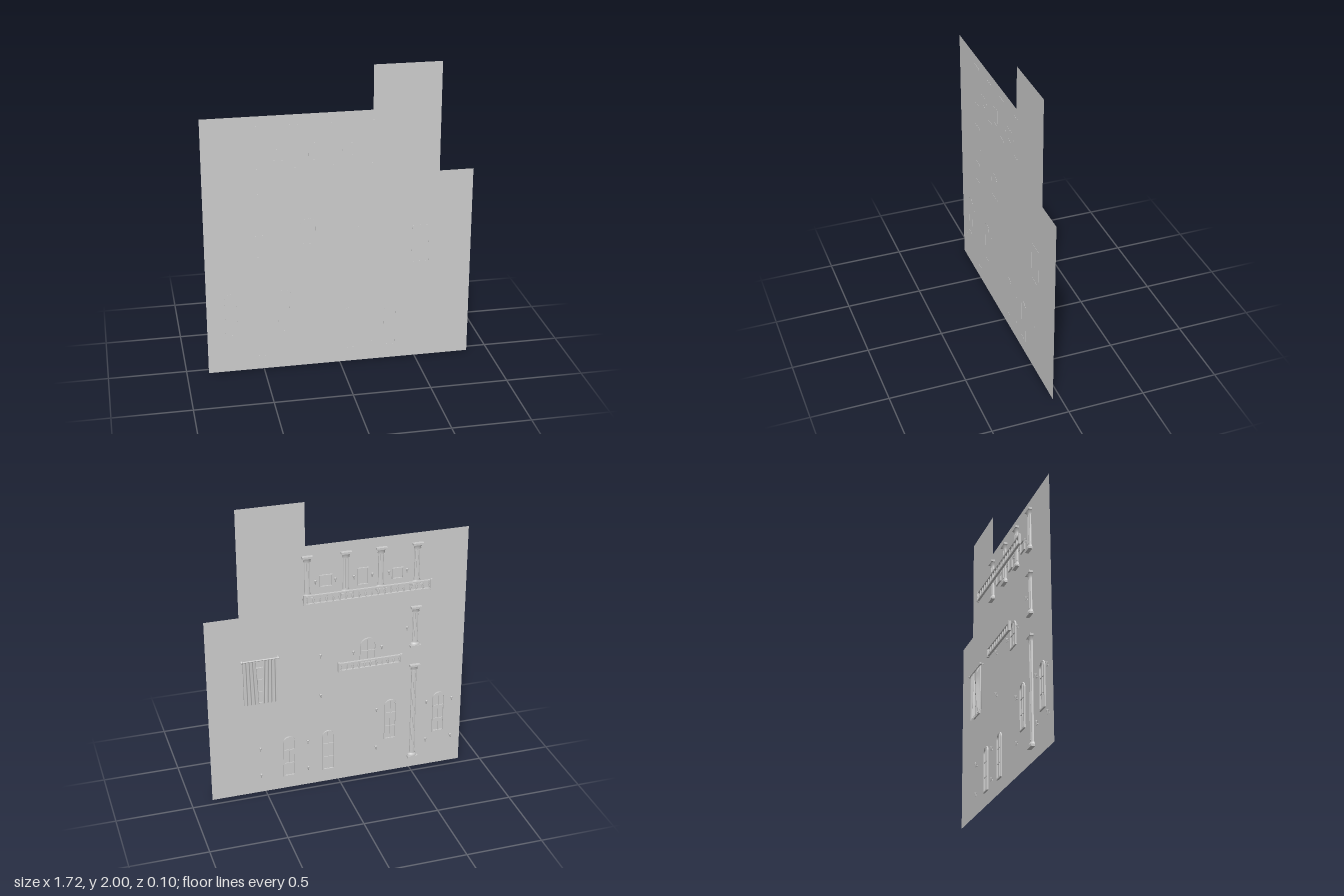
import * as THREE from 'three';

const WALL_Z = 0.05;
const stone = new THREE.MeshStandardMaterial({ color: 0xcccccc, side: THREE.DoubleSide });
stone.name = 'pale stone';

function add(parent, geo, name, x = 0, y = 0, z = 0) {
  const m = new THREE.Mesh(geo, stone);
  m.name = name;
  m.position.set(x, y, z);
  parent.add(m);
  return m;
}
const box = (w, h, d) => new THREE.BoxGeometry(w, h, d);
const v2 = (a) => a.map(([x, y]) => new THREE.Vector2(x, y));

function group(parent, name, x = 0, y = 0, z = 0) {
  const g = new THREE.Group();
  g.name = name;
  g.position.set(x, y, z);
  parent.add(g);
  return g;
}

// Half-round pilaster against the back of the wall
function pilaster(parent, x, y0, y1) {
  const h = y1 - y0, g = group(parent, 'pilaster', x, y0, WALL_Z);
  const profile = v2([[0.032, 0.014], [0.032, 0.022], [0.026, 0.03], [0.02, 0.036],
    [0.019, h - 0.045], [0.024, h - 0.038], [0.022, h - 0.03], [0.032, h - 0.014]]);
  const shaft = add(g, new THREE.LatheGeometry(profile, 12, Math.PI / 2, Math.PI), 'shaft');
  shaft.scale.z = 0.75;
  for (const a of [-0.9, -0.3, 0.3, 0.9]) {
    add(g, box(0.004, h - 0.09, 0.004), 'fluteRib',
      0.02 * Math.sin(a), h / 2, -0.015 * Math.cos(a));
  }
  add(g, box(0.07, 0.014, 0.025), 'plinth', 0, 0.007, -0.0115);
  add(g, box(0.07, 0.014, 0.025), 'capital', 0, h - 0.007, -0.0115);
}

// Outline of a window, with a round or a square head
function outline(P, w, h, arched) {
  const p = new P(), r = w / 2;
  p.moveTo(-r, 0);
  p.lineTo(r, 0);
  if (arched) {
    p.lineTo(r, h - r);
    p.absarc(0, h - r, r, 0, Math.PI, false);
  } else {
    p.lineTo(r, h);
    p.lineTo(-r, h);
  }
  p.closePath();
  return p;
}

function windowFrame(parent, name, x, y, w, h, arched, bars, t = 0.009) {
  const g = group(parent, name, x, y, WALL_Z - 0.01);
  const s = outline(THREE.Shape, w, h, arched);
  const inner = outline(THREE.Path, w - 2 * t, h - 2 * t, arched);
  const hole = new THREE.Path(inner.getPoints(12).map((p) => p.add(new THREE.Vector2(0, t))));
  s.holes.push(hole);
  add(g, new THREE.ExtrudeGeometry(s, { depth: 0.011, bevelEnabled: false, curveSegments: 12 }), 'frame');
  if (bars) {
    add(g, box(0.005, h - t, 0.006), 'mullion', 0, h / 2, 0.006);
    for (let i = 1; i <= bars; i++) {
      add(g, box(w - t, 0.004, 0.006), 'glazingBar', 0, (h * i) / (bars + 1), 0.006);
    }
  }
}

// Small wall lamp: tapered bowl on a bracket
function lamp(parent, x, y) {
  const g = group(parent, 'wallLamp', x, y, WALL_Z);
  const bowl = v2([[0, -0.016], [0.003, -0.014], [0.005, 0], [0.009, 0.01], [0.007, 0.014], [0, 0.016]]);
  add(g, new THREE.LatheGeometry(bowl, 8), 'lampBowl', 0, 0, -0.01);
  add(g, box(0.004, 0.008, 0.008), 'lampBracket', 0, -0.003, -0.003);
}

// Balustrade standing free behind the wall
function balustrade(parent, x0, x1, y0, h, count, z) {
  const w = x1 - x0, g = group(parent, 'balustrade', (x0 + x1) / 2, y0, z);
  add(g, box(w, 0.008, 0.014), 'bottomRail', 0, 0.006, 0);
  add(g, box(w, 0.01, 0.014), 'topRail', 0, h - 0.009, 0);
  const profile = v2([[0.005, 0.01], [0.003, 0.016], [0.008, 0.028], [0.003, 0.043], [0.005, h - 0.014]]);
  const geo = new THREE.LatheGeometry(profile, 8);
  for (let i = 0; i < count; i++) {
    add(g, geo, 'baluster', -w / 2 + (w * (i + 0.5)) / count);
  }
  for (const s of [-1, 1]) add(g, box(0.014, h, 0.016), 'endPost', s * (w / 2 - 0.007), h / 2, 0);
}

// Pleated curtain panel, flaring a little toward the hem
function curtainPanel(parent, x, dir) {
  const h = 0.31, geo = new THREE.PlaneGeometry(0.09, h, 36, 6);
  const p = geo.attributes.position;
  for (let i = 0; i < p.count; i++) {
    const u = p.getX(i) / 0.09 + 0.5, v = 0.5 - p.getY(i) / h;
    p.setX(i, dir * u * (0.085 + 0.015 * v));
    p.setZ(i, 0.006 * Math.sin(u * Math.PI * 8));
  }
  geo.computeVertexNormals();
  add(parent, geo, 'curtainPanel', x, 0.83, 0.033);
}

export function createModel() {
  const model = new THREE.Group();
  model.name = 'facade';

  // Stepped wall sheet
  const wall = new THREE.Shape(v2([[-0.86, 0], [0.86, 0], [0.86, 1.29], [0.64, 1.29],
    [0.64, 2], [0.21, 2], [0.21, 1.715], [-0.86, 1.715]]));
  add(model, new THREE.ShapeGeometry(wall), 'wall', 0, 0, WALL_Z);

  // Pilasters: a stacked run at one side and a row on the top storey
  pilaster(model, -0.52, 0.08, 0.79);
  pilaster(model, -0.52, 0.92, 1.21);
  for (const x of [-0.52, -0.28, -0.05, 0.2]) pilaster(model, x, 1.36, 1.65);

  // Ground floor arched windows
  for (const [x, y] of [[-0.7, 0.25], [-0.36, 0.25], [0.07, 0.09], [0.335, 0.09]]) {
    windowFrame(model, 'archedWindow', x, y, 0.085, 0.3, true, 2);
  }
  // Balcony door and small top-storey frames
  windowFrame(model, 'balconyDoor', -0.2, 0.85, 0.11, 0.18, true, 1);
  windowFrame(model, 'smallFrame', 0.08, 1.43, 0.085, 0.08, false, 0, 0.005);
  windowFrame(model, 'smallFrame', -0.16, 1.41, 0.075, 0.115, false, 0, 0.005);
  windowFrame(model, 'smallFrame', -0.39, 1.42, 0.075, 0.075, false, 0, 0.005);

  // Balconies
  balustrade(model, -0.59, 0.25, 1.36, 0.07, 20, -0.043);
  balustrade(model, -0.4, 0.03, 0.865, 0.065, 11, -0.045);

  // Curtained window
  const c = group(model, 'curtainedWindow');
  windowFrame(c, 'window', 0.53, 0.67, 0.12, 0.26, false, 2);
  curtainPanel(c, 0.41, 1);
  curtainPanel(c, 0.63, -1);
  const rod = add(c, new THREE.CylinderGeometry(0.005, 0.005, 0.24, 10), 'curtainRod', 0.518, 0.99, 0.028);
  rod.rotation.z = Math.PI / 2;
  for (const x of [0.4, 0.636]) {
    add(c, new THREE.SphereGeometry(0.009, 10, 8), 'rodFinial', x, 0.99, 0.028);
    add(c, box(0.006, 0.008, 0.022), 'rodBracket', x, 0.99, 0.039);
  }

  // Wall lamps
  const lamps = [[-0.46, 1.06], [-0.29, 0.95], [-0.1, 0.94], [0.12, 0.95], [0.12, 0.66]];
  for (const x of [-0.79, -0.61, -0.26]) lamps.push([x, 0.49], [x, 0.2]);
  for (const x of [0.21, 0.53]) lamps.push([x, 0.33], [x, 0.13]);
  for (const x of [0.15, 0.02, -0.1, -0.22, -0.33, -0.45]) lamps.push([x, 1.47]);
  for (const [x, y] of lamps) lamp(model, x, y);

  return model;
}
